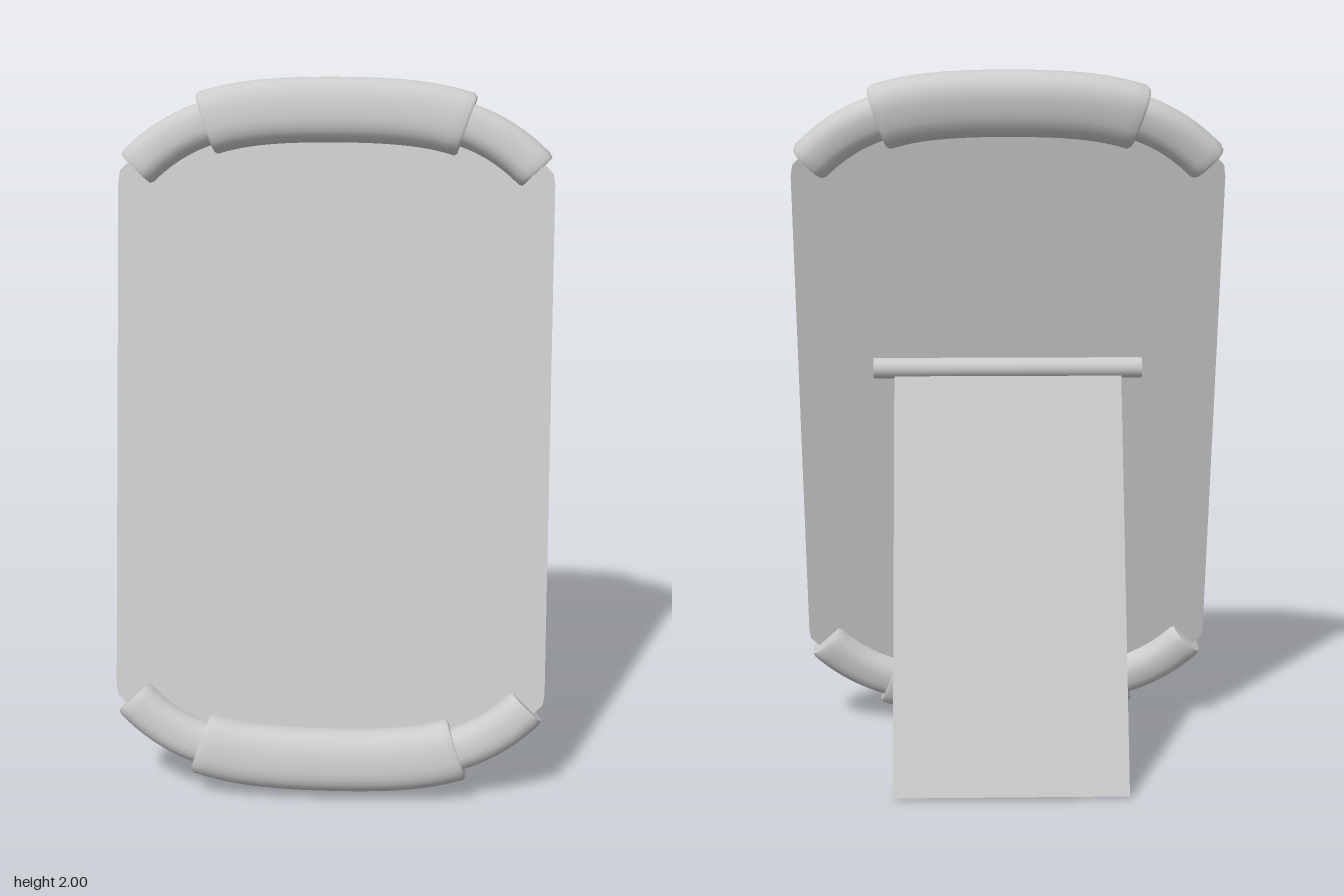
import * as THREE from 'three';

const material = new THREE.MeshStandardMaterial({ color: 0xcccccc });
const SIDES = 28;

// Height and slope of the curved top edge, in the panel's own plane
const edgeY = (x) => 0.917 - 0.1415 * x ** 2 - 1.247 * x ** 4;
const edgeSlope = (x) => -0.283 * x - 4.988 * x ** 3;

function addMesh(parent, geometry, name) {
  const mesh = new THREE.Mesh(geometry, material);
  mesh.name = name;
  parent.add(mesh);
  return mesh;
}

// Soft-cornered tube that follows the edge curve from x0 to x1, with eased rims and flat caps
function bumperGeometry(x0, x1, height, depth, steps) {
  const rows = [[x0, 0.92], [x0 + 0.008, 1]];
  for (let i = 1; i < steps; i++) rows.push([x0 + ((x1 - x0) * i) / steps, 1]);
  rows.push([x1 - 0.008, 1], [x1, 0.92]);

  const positions = [];
  const indices = [];
  const soften = (v) => Math.sign(v) * Math.abs(v) ** 0.8;
  const addRing = ([x, scale]) => {
    const normal = new THREE.Vector2(-edgeSlope(x), 1).normalize();
    for (let j = 0; j < SIDES; j++) {
      const a = (j / SIDES) * Math.PI * 2;
      const h = soften(Math.cos(a)) * height * scale;
      positions.push(x + normal.x * h, edgeY(x) + normal.y * h, soften(Math.sin(a)) * depth * scale);
    }
  };

  rows.forEach(addRing);
  for (let i = 0; i < rows.length - 1; i++) {
    for (let j = 0; j < SIDES; j++) {
      const k = (j + 1) % SIDES;
      const a = i * SIDES;
      const b = a + SIDES;
      indices.push(a + j, a + k, b + j, a + k, b + k, b + j);
    }
  }

  // End caps with their own vertices so the rims stay crisp
  [rows[0], rows[rows.length - 1]].forEach((row, end) => {
    const start = positions.length / 3;
    addRing(row);
    const centre = positions.length / 3;
    positions.push(row[0], edgeY(row[0]), 0);
    for (let j = 0; j < SIDES; j++) {
      const p = start + j;
      const q = start + ((j + 1) % SIDES);
      indices.push(centre, end ? p : q, end ? q : p);
    }
  });

  const geometry = new THREE.BufferGeometry();
  geometry.setAttribute('position', new THREE.Float32BufferAttribute(positions, 3));
  geometry.setIndex(indices);
  geometry.computeVertexNormals();
  return geometry;
}

// Flat panel with clipped corners and bowed top and bottom
function panelGeometry() {
  const top = [[0.61, 0.715], [0.605, 0.745], [0.575, 0.775]];
  for (let i = 0; i <= 16; i++) {
    const x = 0.54 - (1.08 * i) / 16;
    top.push([x, edgeY(x)]);
  }
  top.push([-0.575, 0.775], [-0.605, 0.745], [-0.61, 0.715]);
  const outline = [...top, ...top.map(([x, y]) => [-x, -y])];
  const shape = new THREE.Shape(outline.map(([x, y]) => new THREE.Vector2(x, y)));
  return new THREE.ExtrudeGeometry(shape, { depth: 0.025, bevelEnabled: false }).translate(0, 0, -0.0125);
}

export function createModel() {
  const model = new THREE.Group();
  model.name = 'standingFrame';

  // Leaning panel
  const frame = new THREE.Group();
  frame.name = 'leaningFrame';
  frame.position.set(0, 1.01, 0.133);
  frame.rotation.x = -0.194;
  model.add(frame);
  addMesh(frame, panelGeometry(), 'panel');

  // Bumpers on the top edge, repeated half a turn round on the bottom edge
  const mainBumper = bumperGeometry(-0.365, 0.365, 0.091, 0.076, 20);
  const leftBumper = bumperGeometry(0.33, 0.56, 0.062, 0.064, 10);
  const rightBumper = bumperGeometry(-0.56, -0.33, 0.062, 0.064, 10);
  for (const edge of ['top', 'bottom']) {
    const group = new THREE.Group();
    group.name = `${edge}Bumper`;
    if (edge === 'bottom') group.rotation.z = Math.PI;
    addMesh(group, mainBumper, 'mainBumper');
    addMesh(group, leftBumper, 'endBumper');
    addMesh(group, rightBumper, 'endBumper');
    frame.add(group);
  }

  // Hinge rod and the support leg hanging from it
  const support = new THREE.Group();
  support.name = 'support';
  support.position.set(0, 1.15, 0.08);
  support.rotation.x = 0.367;
  model.add(support);
  const rod = new THREE.CylinderGeometry(0.03, 0.03, 0.78, 24).rotateZ(Math.PI / 2);
  addMesh(support, rod, 'hingeRod');
  const leg = new THREE.BoxGeometry(0.66, 1.226, 0.025).translate(0, -0.613, 0);
  addMesh(support, leg, 'supportLeg');

  return model;
}
